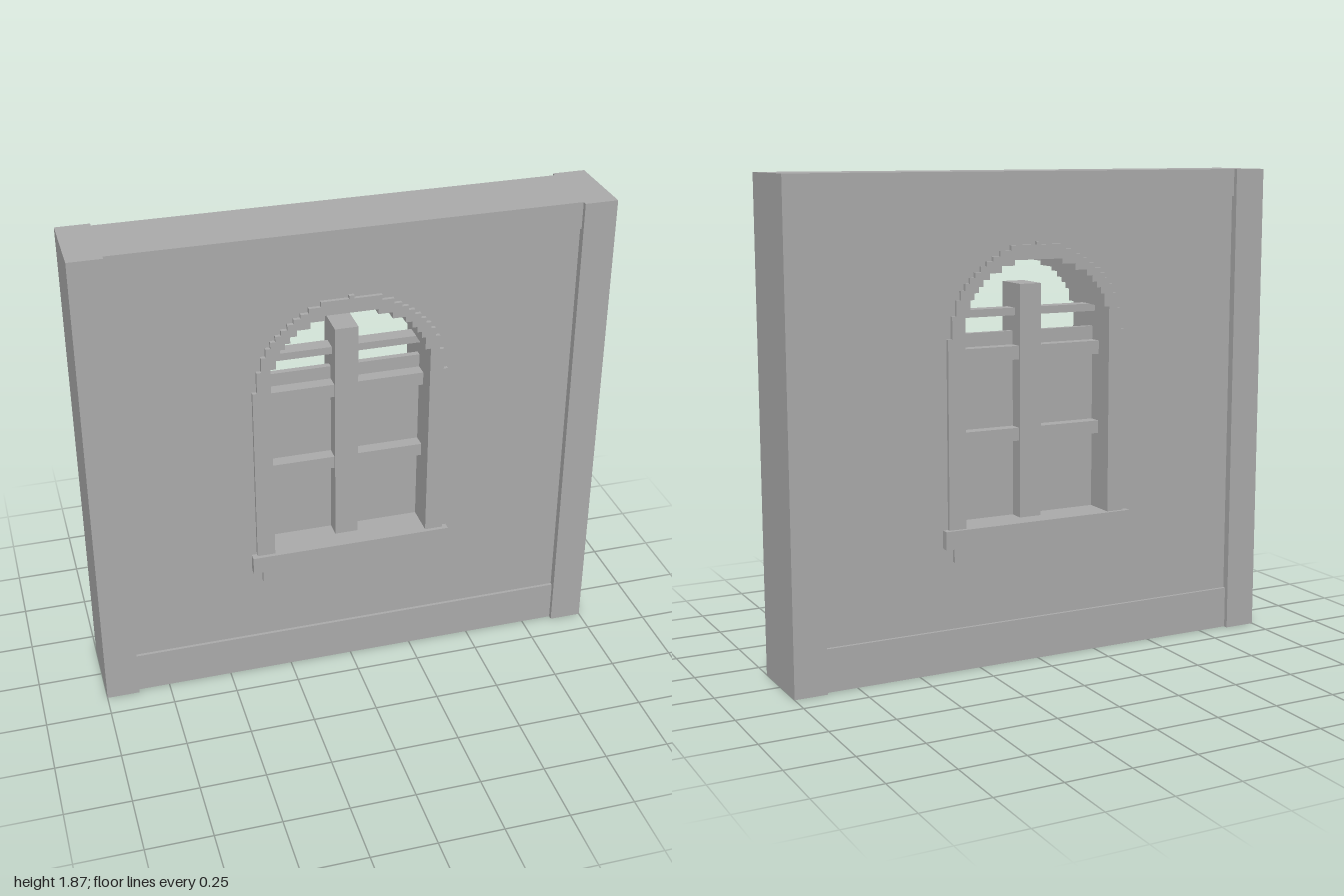
import * as THREE from 'three';

// Stepped arch profiles: [half width, height up to which that width holds]
const OUTER = [[0.375, 1.264], [0.358, 1.348], [0.34, 1.406], [0.322, 1.44], [0.304, 1.465],
  [0.285, 1.486], [0.264, 1.506], [0.24, 1.526], [0.216, 1.544], [0.19, 1.56], [0.16, 1.58],
  [0.115, 1.6], [0.01, 1.612]];
const INNER = [[0.305, 1.355], [0.284, 1.405], [0.268, 1.43], [0.25, 1.452], [0.23, 1.477],
  [0.205, 1.5], [0.155, 1.525], [0.1, 1.545]];

// Symmetric outline that climbs the steps on one side and descends on the other
function archPoints(steps, bottom) {
  const right = [];
  let y = bottom;
  for (const [x, top] of steps) {
    right.push(new THREE.Vector2(x, y), new THREE.Vector2(x, top));
    y = top;
  }
  const left = right.map(p => new THREE.Vector2(-p.x, p.y)).reverse();
  return [...right, ...left];
}

export function createModel() {
  const group = new THREE.Group();
  const stone = new THREE.MeshStandardMaterial({ color: 0xaaaaaa });
  stone.name = 'grey stone';

  function add(name, geometry) {
    const mesh = new THREE.Mesh(geometry, stone);
    mesh.name = name;
    group.add(mesh);
    return mesh;
  }
  // Box from x and y ranges, centred on z = 0
  function box(name, x0, x1, y0, y1, halfDepth) {
    add(name, new THREE.BoxGeometry(x1 - x0, y1 - y0, halfDepth * 2))
      .position.set((x0 + x1) / 2, (y0 + y1) / 2, 0);
  }
  // Extruded outline with one hole, centred on z = 0
  function plate(name, outline, hole, halfDepth) {
    const shape = new THREE.Shape(outline);
    shape.holes.push(new THREE.Path(hole));
    const geometry = new THREE.ExtrudeGeometry(shape, { depth: halfDepth * 2, bevelEnabled: false });
    add(name, geometry.translate(0, 0, -halfDepth));
  }

  // Wall panel with an arched opening
  const wall = [[-0.88, 0.1], [0.88, 0.1], [0.88, 1.8], [-0.88, 1.8]]
    .map(([x, y]) => new THREE.Vector2(x, y));
  plate('wallPanel', wall, archPoints(OUTER, 0.5), 0.125);

  // Surrounding pillars and bands
  box('rightPillar', -1, -0.873, 0, 1.87, 0.155);
  box('leftPillar', 0.873, 1, 0, 1.87, 0.155);
  box('bottomBand', -0.873, 0.873, 0, 0.165, 0.137);
  box('topBand', -0.873, 0.873, 1.765, 1.87, 0.137);

  // Arched window surround, running through the wall
  plate('windowSurround', archPoints(OUTER, 0.49), archPoints(INNER, 0.52), 0.14);

  // Sill and the apron below it
  box('sill', -0.395, 0.395, 0.48, 0.55, 0.155);
  box('sillApron', -0.355, 0.355, 0.425, 0.48, 0.14);

  // Pane and glazing bars
  box('pane', -0.305, 0.305, 0.55, 1.267, 0.012);
  box('mullion', -0.045, 0.045, 0.55, 1.45, 0.073);
  box('lowerBar', -0.305, 0.305, 0.85, 0.9, 0.063);
  box('upperBar', -0.305, 0.305, 1.163, 1.215, 0.063);
  box('archBar', -0.305, 0.305, 1.328, 1.357, 0.03);

  return group;
}
